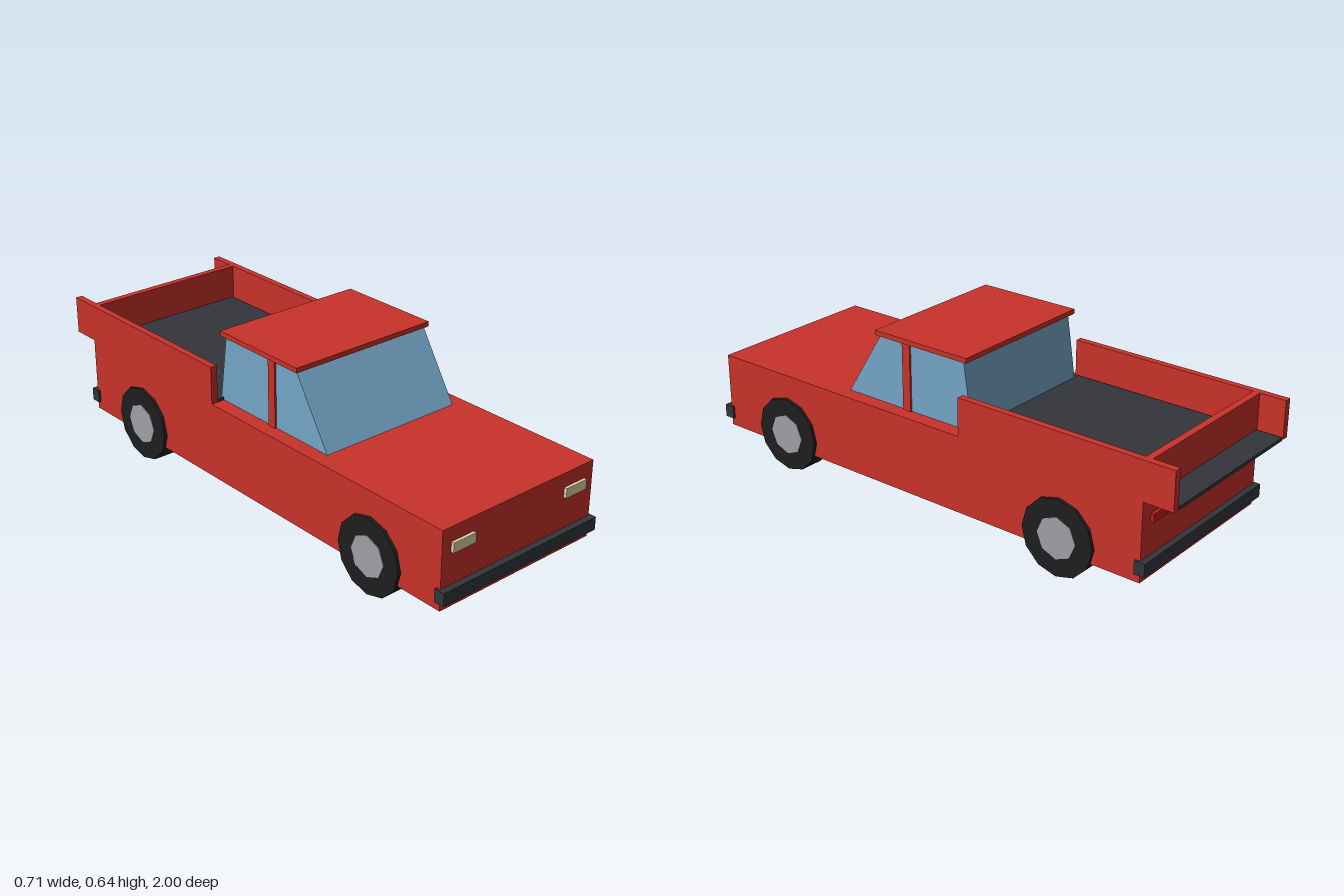
import * as THREE from 'three';

const mat = (color) => new THREE.MeshStandardMaterial({ color, flatShading: true });

export function createModel() {
  const truck = new THREE.Group();
  truck.name = 'pickupTruck';
  const red = mat(0xc8322a), dark = mat(0x33353a), glass = mat(0x74a5c6);
  const tyreMat = mat(0x1e1e1f), hubMat = mat(0x9fa0a6);
  const lampMat = mat(0xddd3a6), tailMat = mat(0xc41818);

  const add = (name, geometry, material) => {
    const mesh = new THREE.Mesh(geometry, material);
    mesh.name = name;
    truck.add(mesh);
    return mesh;
  };
  // Box given by its extents along each axis
  const box = (name, material, [x0, x1], [y0, y1], [z0, z1]) =>
    add(name, new THREE.BoxGeometry(x1 - x0, y1 - y0, z1 - z0), material)
      .position.set((x0 + x1) / 2, (y0 + y1) / 2, (z0 + z1) / 2);
  // Mirrored pair of boxes on the left (+x) and right (-x)
  const pair = (name, material, [x0, x1], y, z) => {
    box(name + 'Left', material, [x0, x1], y, z);
    box(name + 'Right', material, [-x1, -x0], y, z);
  };

  // Body and bumpers
  box('body', red, [-0.343, 0.343], [0.087, 0.372], [-0.89, 0.976]);
  box('frontBumper', dark, [-0.352, 0.352], [0.118, 0.166], [0.96, 1]);
  box('rearBumper', dark, [-0.352, 0.352], [0.118, 0.166], [-0.912, -0.872]);

  // Cabin glass: side profile extruded across the width
  const profile = new THREE.Shape([
    new THREE.Vector2(0.393, 0.372),
    new THREE.Vector2(0.237, 0.62),
    new THREE.Vector2(-0.133, 0.62),
    new THREE.Vector2(-0.17, 0.372),
  ]);
  const cabin = new THREE.ExtrudeGeometry(profile, { depth: 0.576, bevelEnabled: false });
  cabin.translate(0, 0, -0.288);
  cabin.rotateY(-Math.PI / 2);
  add('cabinGlass', cabin, glass);

  // Roof and door pillars
  box('roof', red, [-0.299, 0.299], [0.619, 0.637], [-0.153, 0.253]);
  pair('doorPillar', red, [0.28, 0.295], [0.372, 0.62], [0.1, 0.134]);

  // Cargo bed
  box('bedFloor', dark, [-0.311, 0.311], [0.37, 0.382], [-1, -0.155]);
  pair('bedWall', red, [0.317, 0.343], [0.372, 0.513], [-1, -0.153]);
  box('tailgate', red, [-0.317, 0.317], [0.372, 0.513], [-0.902, -0.876]);

  // Lamps
  pair('headlight', lampMat, [0.207, 0.304], [0.283, 0.319], [0.965, 0.987]);
  pair('tailLight', tailMat, [0.214, 0.296], [0.285, 0.315], [-0.902, -0.88]);

  // Wheels: low-poly tyre with an eight-sided hub
  const tyre = new THREE.CylinderGeometry(0.1415, 0.1415, 0.092, 12).rotateZ(Math.PI / 2);
  const hub = new THREE.CylinderGeometry(0.077, 0.077, 0.097, 8).rotateZ(Math.PI / 2);
  for (const [end, z] of [['front', 0.663], ['rear', -0.575]]) {
    for (const [side, s] of [['Left', 1], ['Right', -1]]) {
      add(`${end}${side}Tyre`, tyre, tyreMat).position.set(s * 0.309, 0.1415, z);
      add(`${end}${side}Hub`, hub, hubMat).position.set(s * 0.309, 0.1415, z);
    }
  }
  return truck;
}
